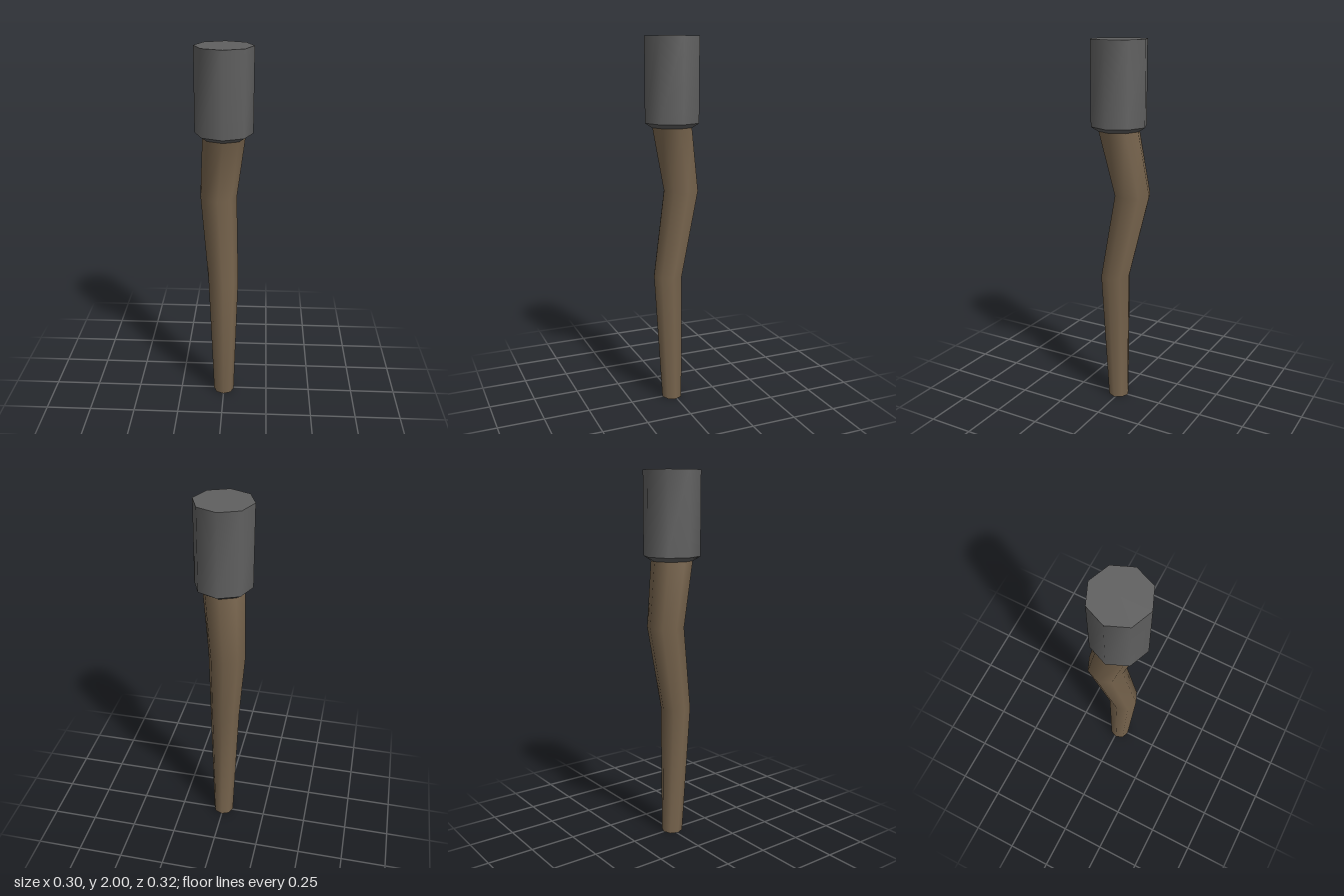
import * as THREE from 'three';

const SIDES = 8;

// Eight-sided tube through rings listed from top to bottom: [x, y, z, radius]
function ringTube(rings) {
  const geo = new THREE.CylinderGeometry(1, 1, 1, SIDES, rings.length - 1);
  const pos = geo.attributes.position;
  const row = SIDES + 1;
  const sideCount = row * rings.length;
  const capCount = (pos.count - sideCount) / 2;
  for (let i = 0; i < pos.count; i++) {
    const k = i < sideCount ? Math.floor(i / row)
      : i < sideCount + capCount ? 0 : rings.length - 1;
    const [x, y, z, r] = rings[k];
    pos.setXYZ(i, x + pos.getX(i) * r, y, z + pos.getZ(i) * r);
  }
  geo.computeVertexNormals();
  // Blend the normals across the seam so the sides stay smooth
  const nor = geo.attributes.normal;
  const a = new THREE.Vector3(), b = new THREE.Vector3();
  for (let k = 0; k < rings.length; k++) {
    const i = k * row, j = i + SIDES;
    a.fromBufferAttribute(nor, i).add(b.fromBufferAttribute(nor, j)).normalize();
    nor.setXYZ(i, a.x, a.y, a.z);
    nor.setXYZ(j, a.x, a.y, a.z);
  }
  return geo;
}

export function createModel() {
  const model = new THREE.Group();
  model.name = 'torch';

  const wood = new THREE.MeshStandardMaterial({ name: 'brown wood', color: 0x77644d });
  const metal = new THREE.MeshStandardMaterial({ name: 'dark grey', color: 0x606060 });

  const add = (name, geometry, material) => {
    const mesh = new THREE.Mesh(geometry, material);
    mesh.name = name;
    model.add(mesh);
  };

  // Crooked tapering shaft
  add('shaft', ringTube([
    [0, 1.54, 0.006, 0.112],
    [-0.032, 1.19, -0.059, 0.099],
    [-0.002, 0.725, 0.03, 0.082],
    [0, 0, 0.008, 0.058],
  ]), wood);

  // Head with a chamfered lower rim
  add('head', ringTube([[0, 2, 0.006, 0.152], [0, 1.56, 0.006, 0.152]]), metal);
  add('headChamfer', ringTube([[0, 1.56, 0.006, 0.152], [0, 1.536, 0.006, 0.115]]), metal);

  return model;
}
